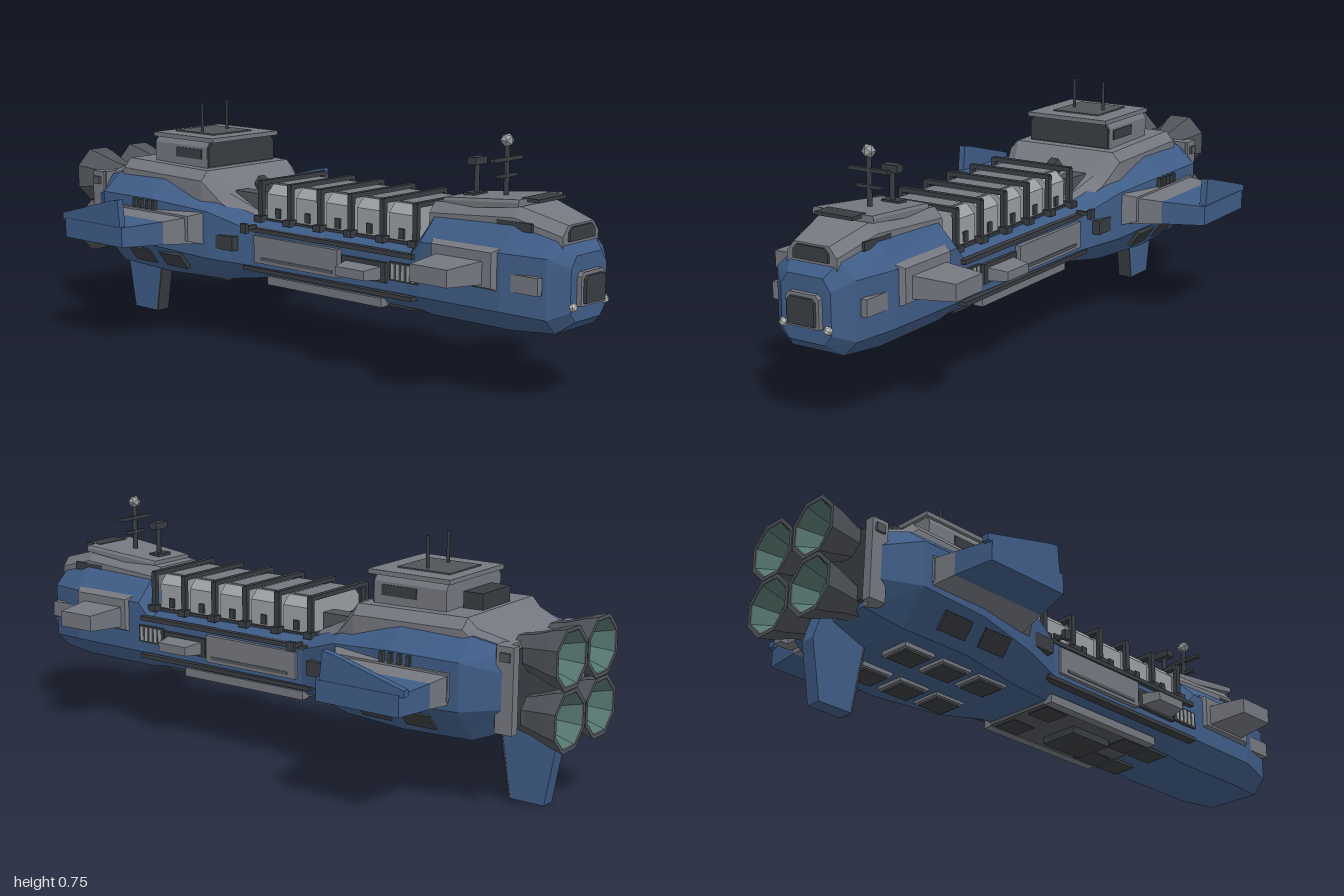
import * as THREE from 'three';

const mat = (name, color, extra = {}) => {
  const m = new THREE.MeshStandardMaterial({ color, ...extra });
  m.name = name;
  return m;
};

export function createModel() {
  const blue = mat('hull blue', 0x3f5c86);
  const grey = mat('panel grey', 0x74777f);
  const dark = mat('dark metal', 0x383c41);
  const gun = mat('gunmetal', 0x50545a);
  const light = mat('container grey', 0x9a9fa2);
  const teal = mat('engine teal', 0x55756f, { side: THREE.DoubleSide });
  const lamp = mat('lamp white', 0xc4c6c4);

  const root = new THREE.Group();
  root.name = 'spaceship';

  const add = (name, geo, m, x = 0, y = 0, z = 0) => {
    const mesh = new THREE.Mesh(geo, m);
    mesh.name = name;
    mesh.position.set(x, y, z);
    root.add(mesh);
    return mesh;
  };
  const box = (name, m, w, h, d, x, y, z) => add(name, new THREE.BoxGeometry(w, h, d), m, x, y, z);
  // box given by its z and y limits
  const slab = (name, m, w, z0, z1, y0, y1, x = 0) =>
    box(name, m, w, y1 - y0, Math.abs(z1 - z0), x, (y0 + y1) / 2, (z0 + z1) / 2);
  const both = (fn) => [1, -1].forEach(fn);

  // Flat-shaded skin over convex rings; winding is fixed by the sign of the volume
  const loft = (name, m, rings, capStart = true) => {
    const tris = [];
    const n = rings[0].length;
    for (let r = 0; r + 1 < rings.length; r++) {
      for (let i = 0; i < n; i++) {
        const j = (i + 1) % n, A = rings[r], B = rings[r + 1];
        tris.push([A[i], A[j], B[j]], [A[i], B[j], B[i]]);
      }
    }
    const last = rings[rings.length - 1];
    for (let i = 1; i < n - 1; i++) {
      if (capStart) tris.push([rings[0][0], rings[0][i + 1], rings[0][i]]);
      tris.push([last[0], last[i], last[i + 1]]);
    }
    const v = (p) => new THREE.Vector3(...p);
    let vol = 0;
    for (const [a, b, c] of tris) vol += v(a).dot(v(b).cross(v(c)));
    if (vol < 0) tris.forEach((t) => t.reverse());
    const g = new THREE.BufferGeometry();
    g.setAttribute('position', new THREE.Float32BufferAttribute(tris.flat(2), 3));
    g.computeVertexNormals();
    return add(name, g, m);
  };
  // Chamfered-roof ring: z, base half width, top half width, base y, top y, chamfer height
  const roof = ([z, wb, wt, y0, y1, c = 0.03]) =>
    [[-wb, y0, z], [wb, y0, z], [wb, y1 - c, z], [wt, y1, z], [-wt, y1, z], [-wb, y1 - c, z]];

  // Main hull: z, half widths (top, middle, bottom), four heights
  const hull = [
    [0.975, 0.06, 0.085, 0.06, 0.25, 0.28, 0.40, 0.435],
    [0.93, 0.085, 0.135, 0.09, 0.215, 0.26, 0.43, 0.475],
    [0.80, 0.11, 0.17, 0.11, 0.208, 0.27, 0.435, 0.505],
    [0.52, 0.11, 0.175, 0.11, 0.208, 0.27, 0.43, 0.495],
    [0.47, 0.14, 0.172, 0.11, 0.215, 0.27, 0.375, 0.405],
    [-0.15, 0.14, 0.185, 0.12, 0.222, 0.27, 0.38, 0.41],
    [-0.30, 0.17, 0.235, 0.16, 0.203, 0.28, 0.43, 0.465],
    [-0.52, 0.20, 0.272, 0.20, 0.205, 0.30, 0.45, 0.515],
    [-0.75, 0.20, 0.272, 0.19, 0.21, 0.31, 0.45, 0.51],
    [-0.86, 0.16, 0.20, 0.15, 0.25, 0.32, 0.42, 0.48],
  ];
  loft('hull', blue, hull.map(([z, t, w, b, y0, y1, y2, y3]) =>
    [[-b, y0, z], [b, y0, z], [w, y1, z], [w, y2, z], [t, y3, z], [-t, y3, z], [-w, y2, z], [-w, y1, z]]));

  // Nose hatch and headlights
  loft('noseHatchFrame', grey, [0.97, 0.99].map((z) => roof([z, 0.056, 0.044, 0.295, 0.39, 0.012])));
  loft('noseHatch', dark, [0.98, 1.0].map((z) => roof([z, 0.046, 0.036, 0.303, 0.38, 0.01])));
  both((s) => add('headlight', new THREE.IcosahedronGeometry(0.014, 0), lamp, s * 0.076, 0.295, 0.978));

  // Fore cabin
  loft('foreCabin', grey, [[0.945, 0.085, 0.06, 0.44, 0.515], [0.80, 0.11, 0.085, 0.46, 0.555],
    [0.50, 0.11, 0.085, 0.40, 0.535]].map(roof));
  loft('foreWindow', dark, [0.94, 0.952].map((z) => roof([z, 0.06, 0.046, 0.47, 0.51, 0.015])));
  loft('foreRoof', grey, [[0.81, 0.105, 0.10, 0.555, 0.575, 0.008], [0.53, 0.085, 0.08, 0.52, 0.55, 0.008]].map(roof));
  slab('foreVisor', dark, 0.13, 0.79, 0.85, 0.565, 0.575);
  both((s) => slab('cabinSideWindow', dark, 0.008, 0.74, 0.86, 0.49, 0.515, s * 0.107));
  slab('roofHatch', dark, 0.06, 0.56, 0.60, 0.545, 0.562);

  // Masts and antennas
  const pole = (name, x, z, y0, y1, r) =>
    add(name, new THREE.CylinderGeometry(r, r, y1 - y0, 8), dark, x, (y0 + y1) / 2, z);
  pole('foreMast', 0, 0.69, 0.54, 0.71, 0.008);
  add('mastDome', new THREE.IcosahedronGeometry(0.021, 0), light, 0, 0.72, 0.69);
  box('mastCrossbar', dark, 0.135, 0.011, 0.014, 0, 0.667, 0.69);
  box('mastLowerBar', dark, 0.085, 0.01, 0.012, 0, 0.62, 0.69);
  pole('sensorMast', 0, 0.585, 0.53, 0.65, 0.008);
  box('sensorHead', dark, 0.055, 0.022, 0.03, 0, 0.653, 0.585);
  both((s) => pole('rearAntenna', s * 0.055, -0.505, 0.63, 0.745, 0.005));

  // Cargo deck, containers and clamp frames
  slab('cargoDeck', dark, 0.27, -0.17, 0.50, 0.39, 0.415);
  for (let i = 0; i < 6; i++) {
    const z = 0.477 - i * 0.125;
    box('clampBar', dark, 0.29, 0.014, 0.018, 0, 0.527, z);
    both((s) => {
      box('clampLeg', dark, 0.014, 0.13, 0.018, s * 0.14, 0.465, z);
      box('clampFoot', dark, 0.03, 0.02, 0.03, s * 0.145, 0.415, z);
    });
    if (i === 5) continue;
    const c = z - 0.0625;
    loft('container', light, [c - 0.05, c + 0.05].map((q) => roof([q, 0.128, 0.10, 0.41, 0.52, 0.028])));
    slab('containerLid', grey, 0.19, c - 0.038, c + 0.038, 0.518, 0.524);
    both((s) => box('containerLatch', dark, 0.008, 0.03, 0.02, s * 0.13, 0.435, c));
  }

  // Rear deck and bridge
  loft('rearDeck', grey, [[-0.17, 0.15, 0.12, 0.38, 0.43], [-0.28, 0.185, 0.15, 0.40, 0.48],
    [-0.35, 0.208, 0.18, 0.44, 0.548], [-0.72, 0.208, 0.18, 0.44, 0.556],
    [-0.75, 0.20, 0.175, 0.44, 0.528], [-0.87, 0.165, 0.14, 0.43, 0.49]].map(roof));
  loft('bridge', grey, [-0.385, -0.63].map((z) => roof([z, 0.148, 0.135, 0.54, 0.635, 0.02])));
  loft('bridgeWindow', dark, [-0.378, -0.39].map((z) => roof([z, 0.146, 0.13, 0.552, 0.633, 0.02])));
  both((s) => slab('bridgeSideWindow', dark, 0.008, -0.41, -0.53, 0.575, 0.607, s * 0.147));
  slab('bridgeRoof', grey, 0.295, -0.36, -0.64, 0.632, 0.646);
  slab('bridgeRoofHatch', gun, 0.17, -0.42, -0.6, 0.645, 0.65);
  slab('rearVentBox', dark, 0.15, -0.64, -0.705, 0.55, 0.603);
  loft('deckIntake', dark, [[-0.17, 0.035, 0.02, 0.42, 0.455, 0.02], [-0.29, 0.028, 0.014, 0.45, 0.52, 0.02]].map(roof));
  both((s) => slab('deckLocker', gun, 0.055, -0.18, -0.28, 0.42, 0.487, s * 0.095));

  // Engine block with four octagonal bells
  slab('engineFrame', grey, 0.40, -0.825, -0.86, 0.25, 0.50);
  slab('enginePlate', dark, 0.35, -0.85, -0.875, 0.265, 0.485);
  both((s) => slab('engineSidePost', grey, 0.03, -0.83, -0.885, 0.25, 0.50, s * 0.192));
  const ring = (cx, cy, r, z) => Array.from({ length: 8 }, (_, i) => {
    const a = (i + 0.5) * Math.PI / 4;
    return [cx + r * Math.cos(a), cy + r * Math.sin(a), z];
  });
  for (const x of [-0.09, 0.09]) for (const y of [0.288, 0.465]) {
    loft('engineBell', gun, [[0.05, -0.84], [0.06, -0.89], [0.085, -0.96], [0.095, -1.0], [0.083, -1.0],
      [0.055, -0.92]].map(([r, z]) => ring(x, y, r, z)));
    loft('engineGlow', teal, [[0.08, -0.997], [0.05, -0.925]].map(([r, z]) => ring(x, y, r, z)), false);
  }

  // Wing block between two x stations: [x, zFront, zBack, yBottom, yTop]
  const wing = (name, m, s, a, b) => loft(name, m, [a, b].map(([x, zf, zb, y0, y1]) =>
    [[s * x, y0, zf], [s * x, y1, zf], [s * x, y1, zb], [s * x, y0, zb]]));
  both((s) => {
    wing('rearWingRoot', grey, s, [0.20, -0.33, -0.725, 0.32, 0.415], [0.35, -0.375, -0.71, 0.33, 0.403]);
    wing('rearWingTip', blue, s, [0.35, -0.375, -0.71, 0.33, 0.403], [0.48, -0.42, -0.695, 0.333, 0.395]);
    loft('winglet', blue, [0.456, 0.478].map((x) =>
      [[s * x, 0.39, -0.43], [s * x, 0.48, -0.44], [s * x, 0.475, -0.47], [s * x, 0.41, -0.71], [s * x, 0.39, -0.71]]));
    wing('rearWingFairing', grey, s, [0.24, -0.31, -0.73, 0.325, 0.425], [0.278, -0.34, -0.72, 0.335, 0.415]);
    wing('foreWing', grey, s, [0.15, 0.585, 0.755, 0.34, 0.41], [0.315, 0.60, 0.73, 0.35, 0.40]);
    wing('foreWingFairing', grey, s, [0.15, 0.55, 0.80, 0.32, 0.45], [0.186, 0.57, 0.78, 0.335, 0.435]);
    wing('stubWing', grey, s, [0.16, 0.24, 0.39, 0.30, 0.345], [0.247, 0.26, 0.37, 0.307, 0.335]);

    // Side panels and rails
    slab('stubWingMount', dark, 0.02, 0.23, 0.40, 0.295, 0.355, s * 0.177);
    slab('sidePanel', grey, 0.025, -0.13, 0.22, 0.285, 0.37, s * 0.182);
    slab('sidePanelStripe', gun, 0.006, -0.10, 0.20, 0.295, 0.305, s * 0.194);
    slab('upperRail', dark, 0.02, -0.17, 0.50, 0.378, 0.392, s * 0.178);
    slab('lowerRail', dark, 0.03, -0.18, 0.50, 0.255, 0.268, s * 0.175);
    slab('noseSidePanel', grey, 0.02, 0.82, 0.92, 0.33, 0.38, s * 0.152);
    slab('rearSidePanel', dark, 0.03, -0.195, -0.285, 0.315, 0.36, s * 0.21);
    slab('louverFrame', dark, 0.012, 0.41, 0.515, 0.305, 0.36, s * 0.174);
    for (let i = 0; i < 5; i++) box('louver', light, 0.008, 0.045, 0.011, s * 0.178, 0.333, 0.425 + i * 0.019);
    for (let i = 0; i < 4; i++) box('rearVentFin', dark, 0.02, 0.03, 0.012, s * 0.273, 0.432, -0.5 - i * 0.03);
    box('sideThrusterArm', dark, 0.05, 0.012, 0.012, s * 0.20, 0.395, -0.14);
    box('sideThruster', dark, 0.014, 0.03, 0.025, s * 0.225, 0.395, -0.14);
    box('tailLight', gun, 0.03, 0.025, 0.03, s * 0.20, 0.47, -0.86);

    // Sloped lower-side hatches
    for (const z of [-0.45, -0.60]) {
      const h = box('lowerSideHatch', dark, 0.012, 0.06, 0.10, s * 0.236, 0.257, z);
      h.rotation.z = -s * 0.65;
    }
    // Belly hatches in two columns
    for (const z of [-0.36, -0.50, -0.64]) {
      slab('bellyHatchFrame', grey, 0.10, z - 0.055, z + 0.055, 0.195, 0.215, s * 0.09);
      slab('bellyHatch', dark, 0.08, z - 0.043, z + 0.043, 0.189, 0.20, s * 0.09);
    }
    for (const z of [-0.06, 0.29, 0.40]) {
      slab('keelHatch', dark, 0.08, z - 0.045, z + 0.045, 0.207, 0.225, s * 0.07);
    }
    slab('keelSideRail', grey, 0.03, -0.12, 0.35, 0.208, 0.235, s * 0.13);
  });
  slab('bellyKeel', gun, 0.24, -0.12, 0.35, 0.21, 0.23);
  slab('bellyBay', dark, 0.13, 0.06, 0.22, 0.187, 0.22);

  // Ventral fin with a dark leading edge
  const fin = (name, m, hw, pts) => loft(name, m, [-hw, hw].map((x) => pts.map(([z, y]) => [x, y, z])));
  fin('ventralFin', blue, 0.024, [[-0.74, 0.26], [-0.782, 0], [-0.892, 0], [-0.925, 0.18], [-0.90, 0.26]]);
  fin('finLeadingEdge', dark, 0.0245, [[-0.735, 0.26], [-0.777, 0], [-0.783, 0], [-0.741, 0.26]]);

  return root;
}
